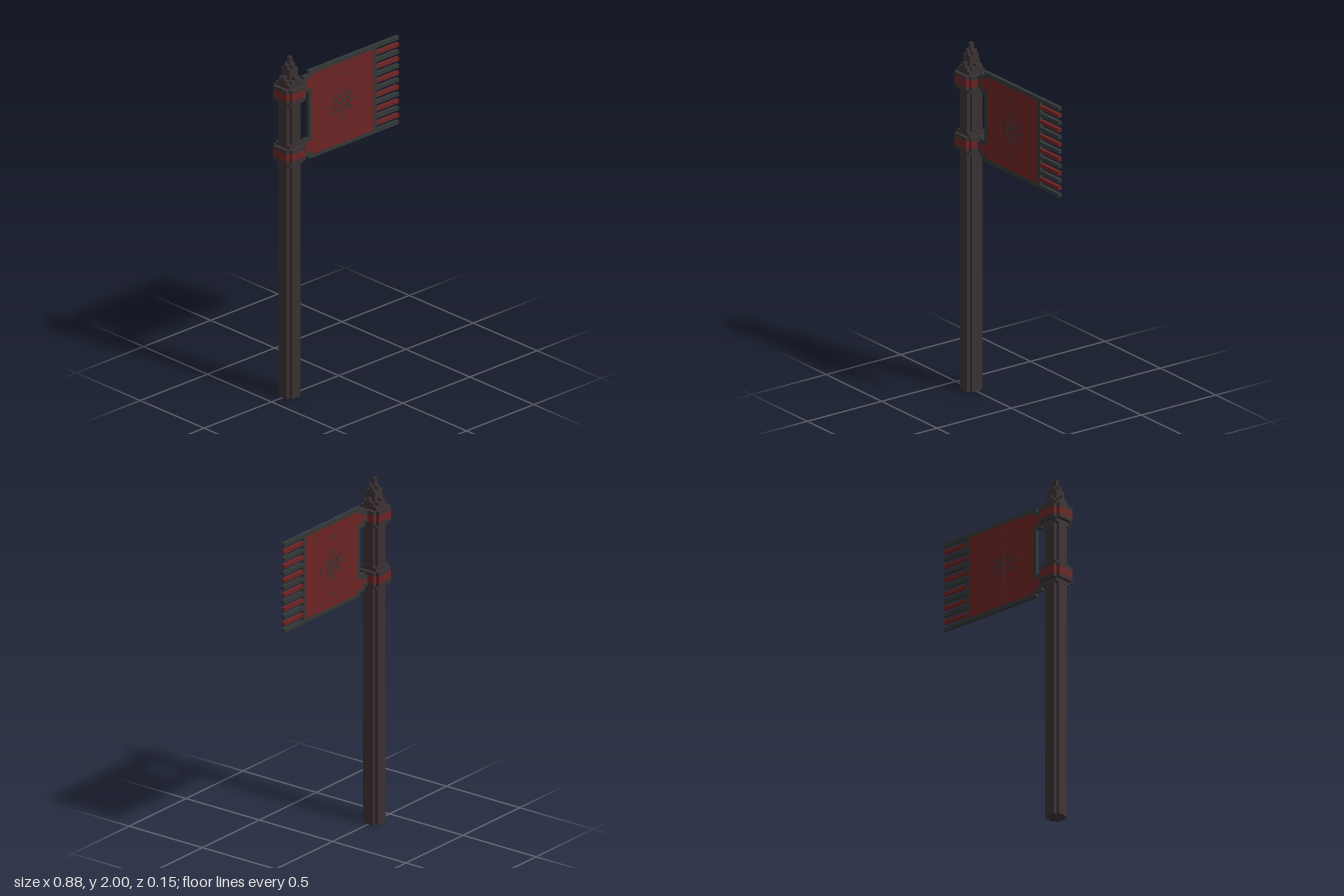
import * as THREE from 'three';

const V = 1 / 48;        // one block
const POLE = 3.5;        // pole axis, in blocks from the left end
const MID = 77.5;        // mid height of the cloth, in blocks

export function createModel() {
  const root = new THREE.Group();
  const mat = (name, color) => {
    const m = new THREE.MeshStandardMaterial({ color });
    m.name = name;
    return m;
  };
  const wood = mat('dark pole', 0x393032);
  const trim = mat('dark trim', 0x313736);
  const red = mat('deep red', 0x6b2323);

  const add = (name, geometry, material) => {
    const mesh = new THREE.Mesh(geometry, material);
    mesh.name = name;
    root.add(mesh);
    return mesh;
  };

  // Box from block ranges, centred on z = 0
  const box = (name, material, x0, x1, y0, y1, depth = 1) => {
    const g = new THREE.BoxGeometry((x1 - x0) * V, (y1 - y0) * V, depth * V);
    g.translate(((x0 + x1) / 2 - 21) * V, ((y0 + y1) / 2) * V, 0);
    return add(name, g, material);
  };
  // The same box, repeated mirrored about the middle of the cloth
  const pair = (name, material, x0, x1, y0, y1) => {
    box(name, material, x0, x1, y0, y1);
    box(name, material, x0, x1, 2 * MID - y1, 2 * MID - y0);
  };

  // Square prism around the pole axis with notched corners
  const prism = (name, material, width, notch, y0, y1) => {
    const h = width / 2, k = h - notch;
    if (notch === 0) return box(name, material, POLE - h, POLE + h, y0, y1, width);
    const pts = [[h, -k], [h, k], [k, k], [k, h], [-k, h], [-k, k],
      [-h, k], [-h, -k], [-k, -k], [-k, -h], [k, -h], [k, -k]];
    const shape = new THREE.Shape(pts.map(([x, y]) => new THREE.Vector2(x * V, y * V)));
    const g = new THREE.ExtrudeGeometry(shape, { depth: (y1 - y0) * V, bevelEnabled: false });
    g.rotateX(-Math.PI / 2);
    g.translate((POLE - 21) * V, y0 * V, 0);
    return add(name, g, material);
  };

  // Pole
  prism('pole', wood, 5, 1, 0, 88);

  // Two collars, each a red band between dark rims
  for (const y of [67, 84]) {
    prism('collarFoot', wood, 5, 0, y - 1, y);
    prism('collarLowerRim', wood, 7, 1, y, y + 1);
    prism('collarBand', red, 7, 1, y + 1, y + 3);
    prism('collarUpperRim', wood, 7, 1, y + 3, y + 4);
    prism('collarTop', wood, 5, 0, y + 4, y + 5);
  }

  // Stepped finial
  prism('finialBase', wood, 5, 1, 89, 90);
  prism('finialCross', wood, 5, 2, 90, 91);
  prism('finialCore', wood, 3, 0, 90, 92.99);
  prism('finialNeck', wood, 3, 1, 92.99, 94);
  prism('finialTip', wood, 1, 0, 94, 96);

  // Straps joining cloth and collars
  pair('strap', red, 7, 9, 68, 69);
  pair('strap', red, 9, 11, 67, 70);
  pair('strapEdge', trim, 7, 8, 67, 68);
  pair('strapEdge', trim, 7, 8, 69, 70);
  pair('strapEdge', trim, 8, 9, 66, 68);
  pair('strapEdge', trim, 8, 9, 69, 71);
  pair('strapEdge', trim, 9, 10, 66, 67);
  pair('strapEdge', trim, 9, 10, 70, 71);

  // Cloth with its border
  box('cloth', red, 11, 33, 66, 89);
  pair('clothHem', trim, 10, 34, 65, 66);
  pair('innerHemEnd', trim, 10, 11, 66, 67);
  box('innerHem', trim, 10, 11, 70, 85);
  box('outerHem', trim, 33, 34, 66, 89);

  // Fringe of alternating strands
  for (let i = 0; i < 13; i++) {
    box('fringe', i % 2 ? red : trim, 34, 42, 65 + 2 * i, 66 + 2 * i);
  }

  // Emblem: small thin plates, repeated in four quadrants on both faces
  const dots = [[0, 0], [1, 0], [3, 0], [5, 0], [0, 1], [0, 3], [0, 4], [0, 8],
    [1, 2], [2, 1], [3, 2]];
  const seen = new Set();
  for (const [dx, dy] of dots) {
    for (const sx of [-1, 1]) for (const sy of [-1, 1]) {
      const x = 21.5 + sx * dx, y = MID + sy * dy, key = `${x},${y}`;
      if (seen.has(key)) continue;
      seen.add(key);
      for (const side of [-1, 1]) {
        const plate = box('emblem', trim, x - 0.4, x + 0.4, y - 0.4, y + 0.4, 0.1);
        plate.position.z = side * 0.5 * V;
      }
    }
  }
  return root;
}
